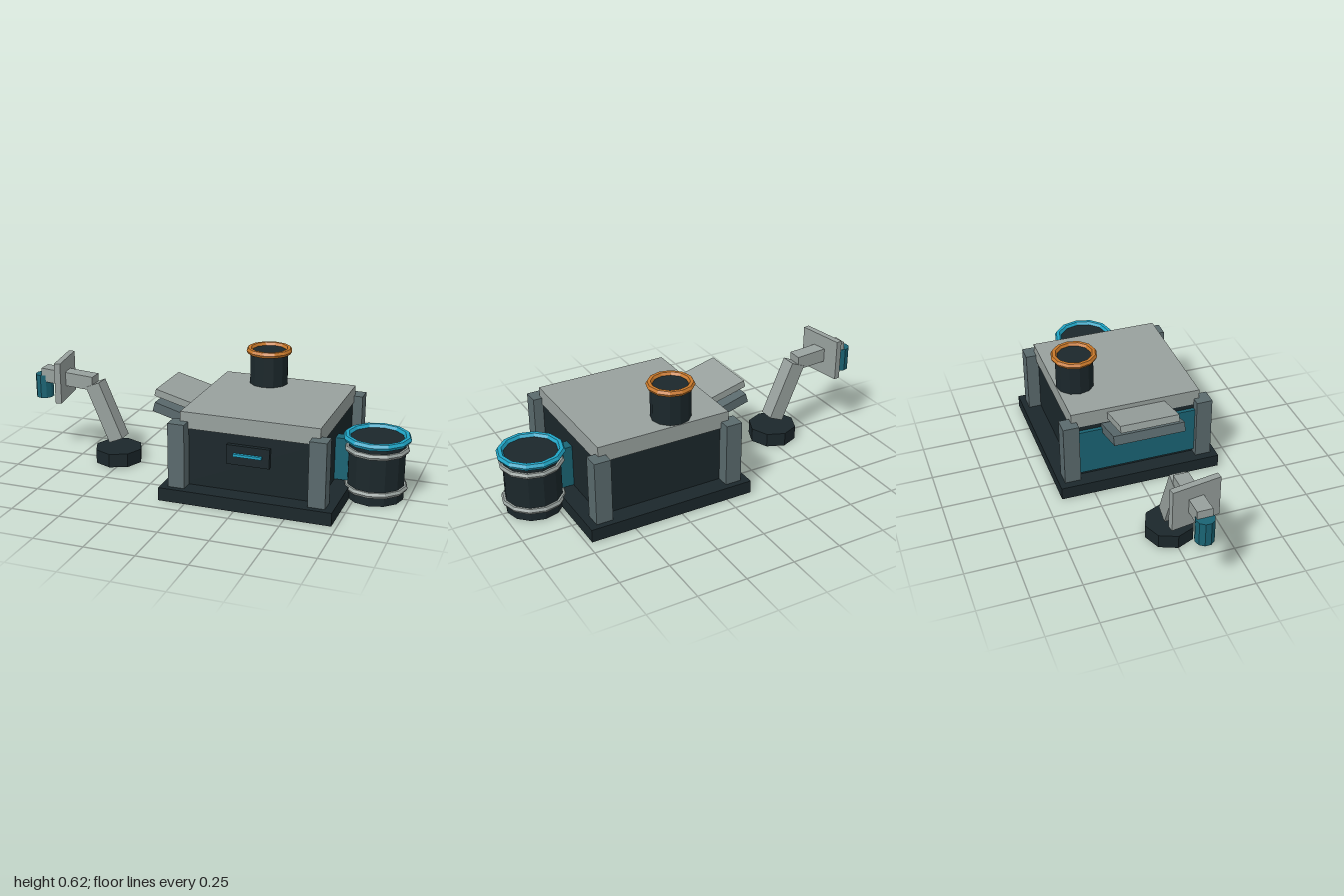
import * as THREE from 'three';

const material = (color) => new THREE.MeshStandardMaterial({ color, flatShading: true, side: THREE.FrontSide });

export function createModel() {
  const model = new THREE.Group();
  const dark = material(0x1b272b);
  const grey = material(0x98a19e);
  const slate = material(0x5a6a6d);
  const cyan = material(0x20a5c6);
  const teal = material(0x1a6474);
  const orange = material(0xc8782a);

  const add = (name, geometry, mat, x, y, z) => {
    const mesh = new THREE.Mesh(geometry, mat);
    mesh.name = name;
    mesh.position.set(x, y, z);
    model.add(mesh);
    return mesh;
  };
  // Box given by its lower and upper limits on each axis
  const box = (name, mat, [x0, x1], [y0, y1], [z0, z1]) =>
    add(name, new THREE.BoxGeometry(x1 - x0, y1 - y0, z1 - z0), mat,
      (x0 + x1) / 2, (y0 + y1) / 2, (z0 + z1) / 2);
  // Upright cylinder standing on y0
  const drum = (name, mat, r, y0, y1, x, z, sides) =>
    add(name, new THREE.CylinderGeometry(r, r, y1 - y0, sides), mat, x, (y0 + y1) / 2, z);
  // Horizontal faceted ring
  const ring = (name, mat, R, r, x, y, z) => {
    const g = new THREE.TorusGeometry(R, r, 6, 12).rotateX(Math.PI / 2);
    return add(name, g, mat, x, y, z);
  };
  // Beam in the xy plane between two centre points
  const beam = (name, mat, [ax, ay], [bx, by], thickness, depth) => {
    const g = new THREE.BoxGeometry(Math.hypot(bx - ax, by - ay), thickness, depth);
    const mesh = add(name, g, mat, (ax + bx) / 2, (ay + by) / 2, 0);
    mesh.rotation.z = Math.atan2(by - ay, bx - ax);
    return mesh;
  };

  // Main housing
  box('basePlate', dark, [-0.135, 0.725], [0, 0.066], [-0.42, 0.42]);
  box('housing', dark, [-0.05, 0.635], [0.066, 0.357], [-0.325, 0.325]);
  box('roof', grey, [-0.05, 0.64], [0.355, 0.438], [-0.336, 0.336]);
  for (const x of [-0.053, 0.643]) {
    for (const z of [-0.349, 0.349]) {
      box('cornerPost', slate, [x - 0.042, x + 0.042], [0.066, 0.39], [z - 0.041, z + 0.041]);
    }
  }

  // Front control panel and its light strip
  box('controlPanel', dark, [0.187, 0.4], [0.208, 0.305], [0.32, 0.347]);
  box('lightStrip', cyan, [0.224, 0.364], [0.254, 0.267], [0.34, 0.362]);

  // Side intake panel with two sloping slabs above it
  box('intakePanel', teal, [-0.07, -0.04], [0.09, 0.335], [-0.31, 0.31]);
  beam('upperChute', grey, [-0.257, 0.45], [-0.03, 0.39], 0.036, 0.3);
  beam('lowerChute', slate, [-0.252, 0.387], [-0.05, 0.33], 0.048, 0.365);

  // Chimney
  drum('chimney', dark, 0.098, 0.43, 0.609, 0.21, -0.237, 12);
  ring('chimneyRim', orange, 0.102, 0.016, 0.21, 0.609, -0.237);

  // Storage barrel and its coupling to the housing
  drum('barrel', dark, 0.14, 0, 0.305, 0.834, 0, 12);
  ring('barrelRim', cyan, 0.148, 0.0175, 0.834, 0.305, 0);
  for (const y of [0.058, 0.253]) ring('barrelHoop', grey, 0.1425, 0.0155, 0.834, y, 0);
  box('barrelCoupling', teal, [0.63, 0.71], [0.07, 0.285], [-0.03, 0.03]);

  // Detached robot arm
  drum('armBase', dark, 0.125, 0, 0.072, -0.535, 0, 8);
  beam('lowerArm', grey, [-0.533, 0.118], [-0.658, 0.408], 0.081, 0.08);
  beam('upperArm', grey, [-0.66, 0.413], [-0.953, 0.432], 0.072, 0.075);
  const plate = add('armPlate', new THREE.BoxGeometry(0.032, 0.213, 0.245), grey, -0.833, 0.422, 0);
  plate.rotation.y = 0.16;
  drum('armTool', teal, 0.046, 0.305, 0.428, -0.955, 0, 10);

  return model;
}
